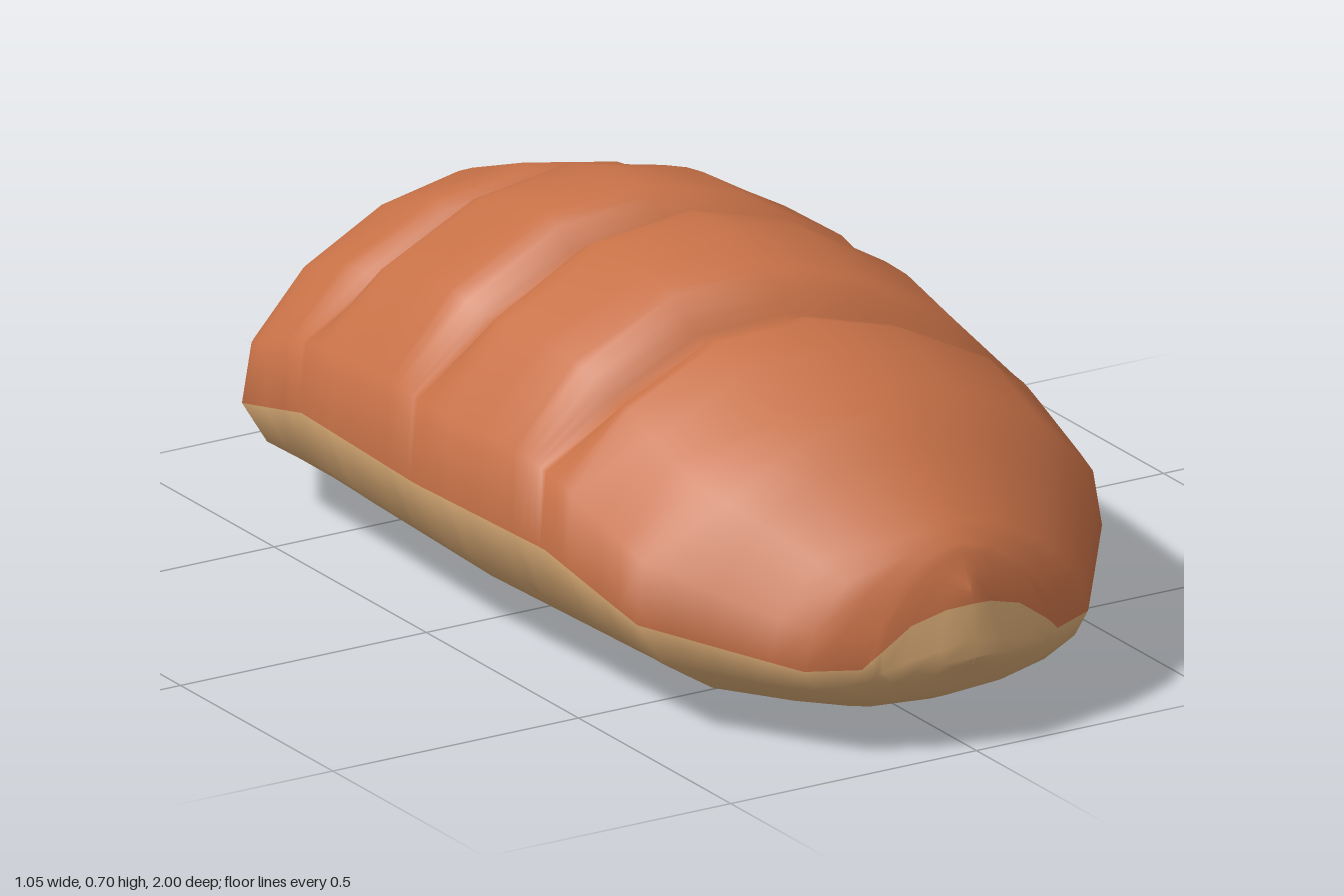
import * as THREE from 'three';
import { mergeVertices } from 'three/addons/utils/BufferGeometryUtils.js';

const { lerp, smoothstep } = THREE.MathUtils;

// Piecewise-linear lookup through [position, value] pairs
function keyed(keys, t) {
  if (t <= keys[0][0]) return keys[0][1];
  for (let i = 1; i < keys.length; i++) {
    const [a, va] = keys[i - 1], [b, vb] = keys[i];
    if (t <= b) return va + (vb - va) * (t - a) / (b - a);
  }
  return keys[keys.length - 1][1];
}

// Loaf outline by distance from the middle along z
const HALF_WIDTH = [[0, 0.525], [0.4, 0.507], [0.65, 0.477], [0.9, 0.29], [0.96, 0.17], [1, 0]];
const TOP = [[0, 0.7], [0.2, 0.7], [0.35, 0.658], [0.44, 0.633], [0.69, 0.54], [0.95, 0.36], [1, 0.29]];
const WIDEST = [[0, 0.3], [0.4, 0.295], [0.65, 0.25], [0.9, 0.18], [1, 0.175]];
const BOTTOM = [[0, 0], [0.64, 0.01], [0.83, 0.04], [0.92, 0.08], [1, 0.17]];
const SEAM = [[0, 0.28], [0.4, 0.28], [0.65, 0.213], [0.9, 0.17], [0.945, 0.17],
  [0.96, 0.2], [0.97, 0.24], [0.985, 0.26], [1, 0.266]];

// Three diagonal slashes: centre lines and drift along z across the loaf
const SLASHES = [-0.4, 0, 0.4];
const SLASH_DRIFT = [[-0.33, -0.055], [-0.15, -0.05], [0.1, 0.01], [0.35, 0.05]];
const SLASH_WIDTH = 0.075, SLASH_DEPTH = 0.06;

// Roundness of the cross-section above and below its widest level
const DOME = 1.7, BELLY = 2.1;
const UPPER = 8, LOWER = 8; // segments over the crust and under the base

// Point on the crust or base; angle 0 is +x, a quarter turn is the top
function loafPoint(s, angle) {
  const cos = Math.cos(angle), sin = Math.sin(angle);
  const power = 2 / (sin > 0 ? DOME : BELLY);
  const px = Math.abs(cos) < 1e-9 ? 0 : Math.sign(cos) * Math.abs(cos) ** power;
  const py = Math.abs(sin) ** power;
  const e = Math.abs(s);
  if (sin <= 0) {
    const mid = keyed(WIDEST, e);
    return [keyed(HALF_WIDTH, e) * px, mid - (mid - keyed(BOTTOM, e)) * py, s];
  }
  // slide the row along z so that it follows the slashes
  const drift = Math.min(keyed(SLASH_DRIFT, keyed(HALF_WIDTH, e) * px), 0.05 - 0.04 * smoothstep(s, 0.2, 0.4));
  const z = s + drift * (1 - smoothstep(e, 0.5, 0.75)) * smoothstep(py, 0, 0.35);
  const d = Math.abs(z), mid = keyed(WIDEST, d);
  const x = keyed(HALF_WIDTH, d) * px;
  const y = mid + (keyed(TOP, d) - mid) * py;
  // press the slash inward
  const near = Math.min(...SLASHES.map((k) => Math.abs(s - k)));
  const cut = SLASH_DEPTH * Math.max(0, 1 - near / SLASH_WIDTH) ** 1.5
    * (1 - smoothstep(Math.abs(x), 0.32, 0.46));
  const len = Math.hypot(x * 0.7, y - 0.2);
  // the tips lean back toward the top
  const lean = 1 - 0.018 * py * smoothstep(d, 0.9, 1);
  return [x - cut * x * 0.7 / len, y - cut * (y - 0.2) / len, z * lean];
}

// Angle at which the crust meets the base
function seamAngle(s) {
  const d = Math.abs(s), mid = keyed(WIDEST, d), rise = keyed(SEAM, d) - mid;
  return rise > 0
    ? Math.asin((rise / (keyed(TOP, d) - mid)) ** (DOME / 2))
    : -Math.asin((-rise / (mid - keyed(BOTTOM, d))) ** (BELLY / 2));
}

// One closed ring: crust from +x over the top, then base back underneath
function ring(s) {
  const a = seamAngle(s), pts = [];
  for (let i = 0; i < UPPER; i++) pts.push(loafPoint(s, lerp(a, Math.PI - a, i / UPPER)));
  for (let i = 0; i < LOWER; i++) pts.push(loafPoint(s, lerp(Math.PI - a, 2 * Math.PI + a, i / LOWER)));
  return pts;
}

function loafGeometry() {
  // Rows along z, closer together at the slashes and rounded ends
  const half = [0.1, 0.15, 0.2, 0.25, 0.3, 0.55, 0.6, 0.65, 0.7, 0.75, 0.8, 0.85, 0.9, 0.925,
    0.945, 0.953, 0.96, 0.97, 0.985, 1];
  const rows = half.flatMap((v) => [v, -v]);
  for (const k of SLASHES) {
    rows.push(k);
    for (const o of [0.015, 0.03, 0.05, 0.075]) rows.push(k + o, k - o);
  }
  rows.sort((a, b) => a - b);
  const rings = rows.map(ring), n = UPPER + LOWER;
  const crust = [], base = [];
  for (let i = 0; i < rings.length - 1; i++) {
    for (let j = 0; j < n; j++) {
      const a = i * n + j, b = i * n + (j + 1) % n, c = a + n, e = b + n;
      (j < UPPER ? crust : base).push(a, b, c, b, e, c);
    }
  }
  const geo = new THREE.BufferGeometry();
  geo.setAttribute('position', new THREE.Float32BufferAttribute(rings.flat(2), 3));
  geo.setIndex([...crust, ...base]);
  // weld the tips so that the shading runs on smoothly
  const merged = mergeVertices(geo, 1e-5);
  merged.addGroup(0, crust.length, 0);
  merged.addGroup(crust.length, base.length, 1);
  merged.computeVertexNormals();
  return merged;
}

export function createModel() {
  const crust = new THREE.MeshStandardMaterial({ color: 0xc77147 });
  crust.name = 'brown crust';
  const base = new THREE.MeshStandardMaterial({ color: 0xd6a873 });
  base.name = 'pale base';

  // Slashed loaf with a browned top and a pale underside
  const loaf = new THREE.Mesh(loafGeometry(), [crust, base]);
  loaf.name = 'loaf';
  const group = new THREE.Group();
  group.name = 'bread';
  group.add(loaf);
  return group;
}
